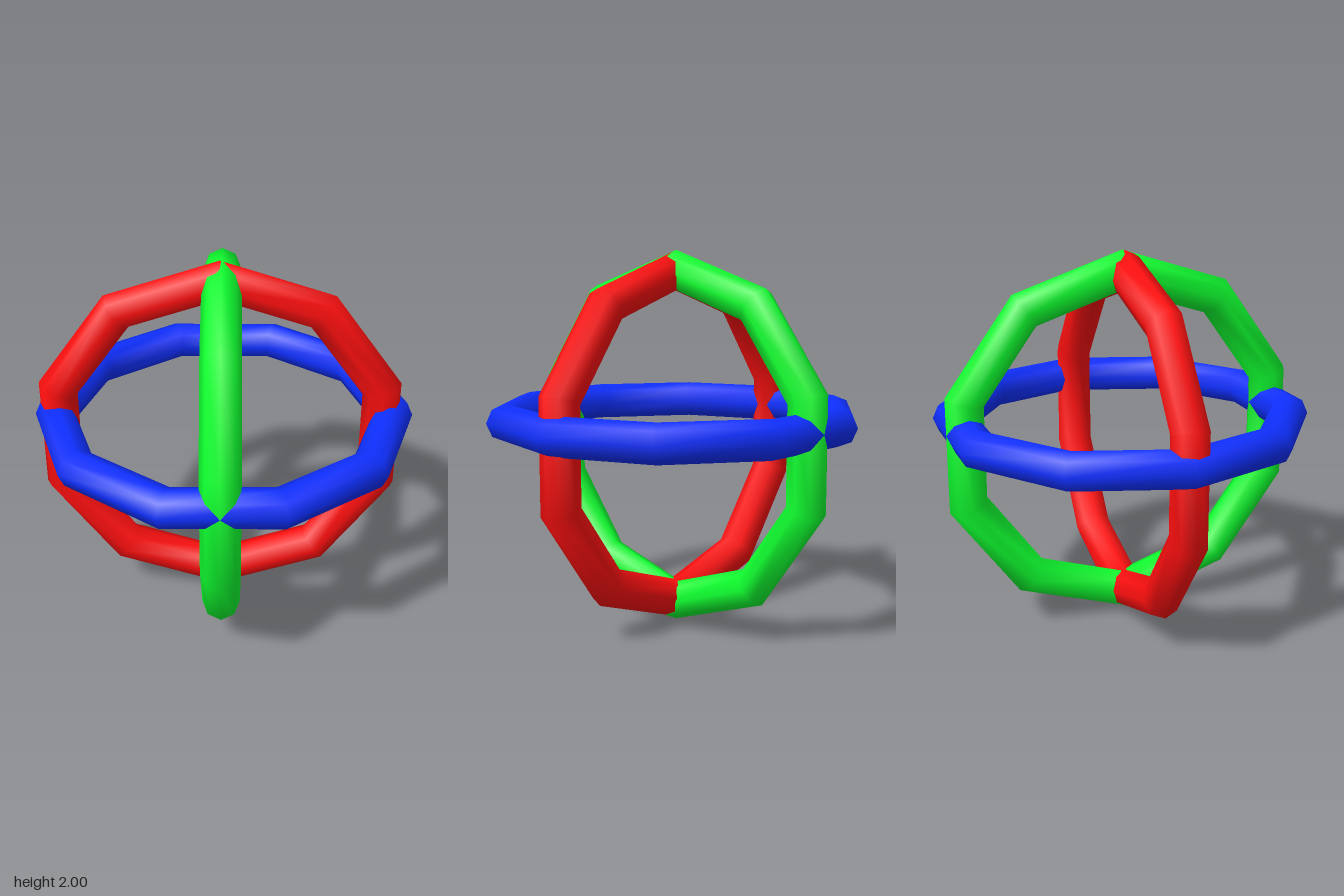
import * as THREE from 'three';

// Ten-sided hoop with an eight-sided tube; corners point along local +x and -x.
function ring(name, color, radius) {
  const tube = 0.105; // mitred corners are a little wider than the straight runs
  const geometry = new THREE.TorusGeometry(radius - tube, tube, 8, 10);
  geometry.scale(1, 1, 0.1 / tube);
  const mesh = new THREE.Mesh(geometry, new THREE.MeshStandardMaterial({ color }));
  mesh.name = name;
  return mesh;
}

export function createModel() {
  const group = new THREE.Group();
  group.name = 'gimbalRings';

  // Upright ring facing the front
  const frontRing = ring('frontRing', 0xff0f0f, 0.995);
  frontRing.rotation.z = Math.PI / 2;
  frontRing.position.set(-0.02, 1.003, 0.012);

  // Upright ring facing the sides
  const sideRing = ring('sideRing', 0x0fff2f, 1);
  sideRing.geometry.rotateZ(Math.PI / 2);
  sideRing.rotation.y = Math.PI / 2;
  sideRing.position.set(-0.011, 1, 0);

  // Level ring
  const levelRing = ring('levelRing', 0x0f2fff, 1);
  levelRing.rotation.x = Math.PI / 2;
  levelRing.position.set(0, 1.112, 0);

  group.add(frontRing, sideRing, levelRing);
  return group;
}
